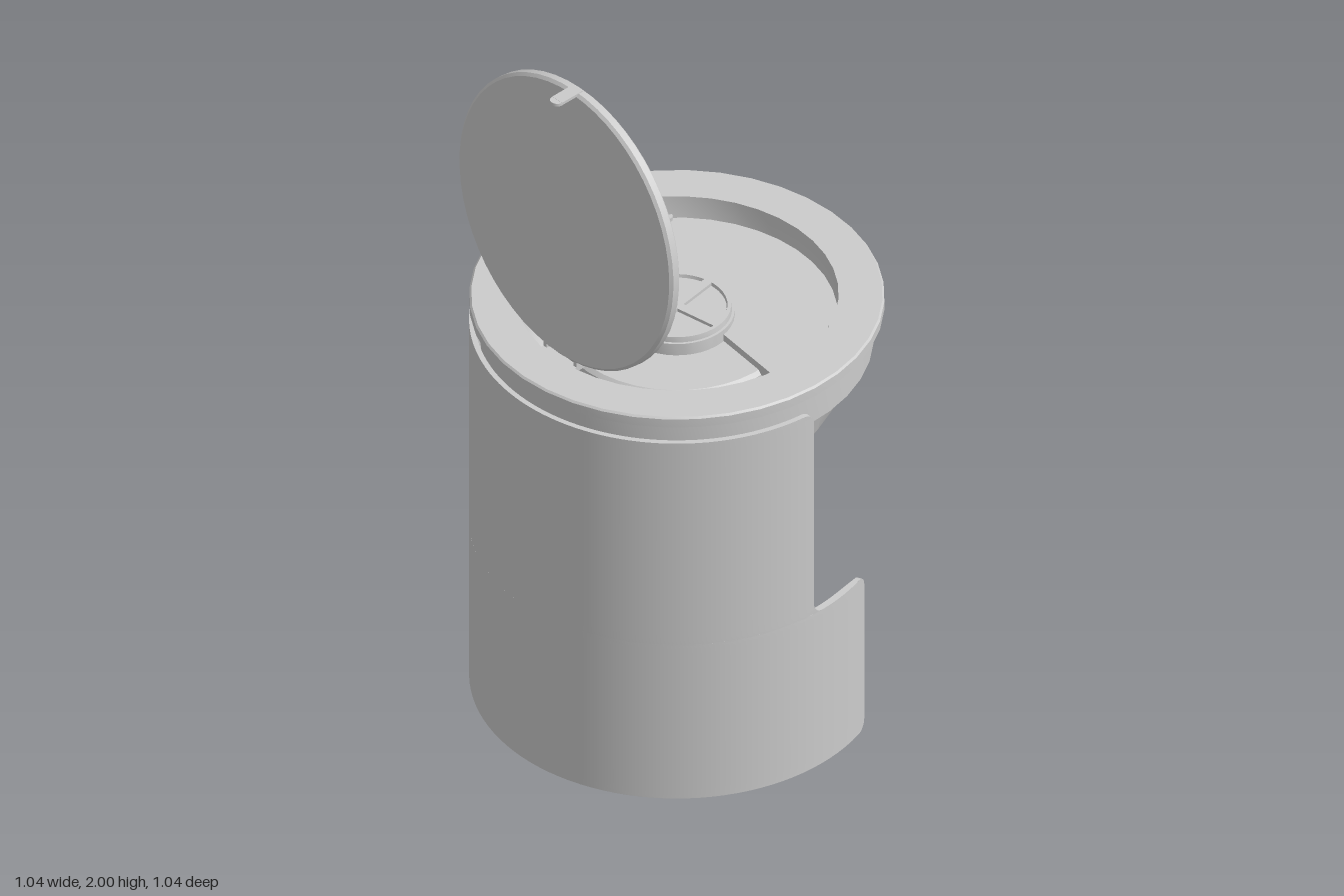
import * as THREE from 'three';
import { toCreasedNormals } from 'three/addons/utils/BufferGeometryUtils.js';

const material = new THREE.MeshStandardMaterial({ color: 0xcccccc });

function add(parent, name, geometry, x = 0, y = 0, z = 0) {
  const mesh = new THREE.Mesh(geometry, material);
  mesh.name = name;
  mesh.position.set(x, y, z);
  parent.add(mesh);
  return mesh;
}

const lathe = (points, segments) =>
  new THREE.LatheGeometry(points.map(([r, y]) => new THREE.Vector2(r, y)), segments);

// Curved wall, open towards +x, with a wider lower part and rounded corners
function shellGeometry() {
  const R = 0.52, inner = 0.506, N = 64, r = 0.03, c = r / R;
  const low = 1.178, high = 1.581, ledge = 0.48, top = 1.11;
  const rows = [];
  const corner = (fn) => {
    for (let i = 0; i <= 5; i++) {
      const t = (i / 5) * Math.PI / 2;
      rows.push(fn(Math.sin(t), Math.cos(t)));
    }
  };
  // each row is [half angle of the opening, height]
  corner((s, k) => [low + c * (1 - s), r * (1 - k)]);
  corner((s, k) => [low + c * (1 - k), ledge - r + r * s]);
  corner((s, k) => [high - c + c * s, ledge + r - r * k]);
  corner((s, k) => [high + c * (1 - k), top - r + r * s]);

  const W = 2 * (N + 1), pos = [], idx = [];
  for (const [gap, y] of rows) {
    for (let j = 0; j < W; j++) {
      const outside = j <= N;
      const u = (outside ? j : W - 1 - j) / N;
      const a = gap + u * (2 * Math.PI - 2 * gap), rad = outside ? R : inner;
      pos.push(rad * Math.cos(a), y, rad * Math.sin(a));
    }
  }
  const quad = (a, b, d, e) => idx.push(a, b, d, a, d, e);
  for (let i = 0; i < rows.length - 1; i++) {
    for (let j = 0; j < W; j++) {
      const k = (j + 1) % W;
      quad(i * W + j, (i + 1) * W + j, (i + 1) * W + k, i * W + k);
    }
  }
  // bottom and top edges
  const last = (rows.length - 1) * W;
  for (let j = 0; j < N; j++) {
    quad(j, j + 1, W - 2 - j, W - 1 - j);
    quad(last + j, last + W - 1 - j, last + W - 2 - j, last + j + 1);
  }
  const g = new THREE.BufferGeometry();
  g.setAttribute('position', new THREE.Float32BufferAttribute(pos, 3));
  g.setIndex(idx);
  return toCreasedNormals(g, 0.5);
}

// Rimmed tray with a ring-shaped trough that becomes shallower towards +x
function trayGeometry() {
  const deep = 0.93, shallow = 1.0, base = 1.055;
  const g = lathe([
    [0, 1.075], [0.28, 1.075], [0.287, 1.06], [0.29, 0.95], [0.3, 0.935], [0.315, deep],
    [0.425, deep], [0.445, 0.938], [0.455, 0.96], [0.465, 1.02], [0.478, base],
    [0.493, base], [0.493, 1.16], [0.52, 1.16], [0.52, 1.185], [0.515, 1.19],
    [0.405, 1.19], [0.403, 1.12], [0.39, 1.06], [0.37, 0.98], [0.345, 0.95], [0.32, 0.955],
    [0.305, 0.99], [0.3, 1.095], [0.29, 1.105], [0, 1.105],
  ], 40);
  const p = g.attributes.position;
  for (let i = 0; i < p.count; i++) {
    const y = p.getY(i);
    if (y >= base) continue;
    const a = Math.abs(Math.atan2(p.getZ(i), p.getX(i)));
    const lift = 1 - THREE.MathUtils.smoothstep(a, 1.13, 1.62);
    p.setY(i, y + lift * (shallow - deep) * (base - y) / (base - deep));
  }
  return toCreasedNormals(g, 0.6);
}

// Half disc covering the +x side of the tray
function plateGeometry() {
  const shape = new THREE.Shape();
  shape.absarc(0, 0, 0.404, -1.386, 1.534, false);
  const g = new THREE.ExtrudeGeometry(shape, { depth: 0.03, bevelEnabled: false, curveSegments: 24 });
  return toCreasedNormals(g.rotateX(-Math.PI / 2), 0.5);
}

export function createModel() {
  const model = new THREE.Group();
  model.name = 'openFrontBin';

  // Parts that share the turned axis of the opening
  const turned = new THREE.Group();
  turned.name = 'turnedParts';
  turned.rotation.y = THREE.MathUtils.degToRad(10);
  model.add(turned);
  add(turned, 'bodyShell', shellGeometry());
  add(turned, 'tray', trayGeometry());

  // Cover plate with two small studs
  add(model, 'coverPlate', plateGeometry(), 0, 1.095, 0);
  for (const [x, z] of [[0.19, -0.347], [0.3, 0.257]]) {
    add(model, 'plateStud', new THREE.CylinderGeometry(0.012, 0.012, 0.012, 12), x, 1.13, z);
  }

  // Central knob: collar, recessed face and raised cross
  const knob = new THREE.Group();
  knob.name = 'knob';
  knob.rotation.y = THREE.MathUtils.degToRad(20);
  model.add(knob);
  add(knob, 'knobBody', toCreasedNormals(lathe([
    [0, 1.068], [0.14, 1.068], [0.145, 1.075], [0.145, 1.14], [0.138, 1.14], [0.136, 1.155],
    [0.127, 1.155], [0.125, 1.146], [0, 1.146],
  ], 40), 0.5));
  for (const angle of [0, Math.PI / 2]) {
    add(knob, 'knobCrossBar', new THREE.BoxGeometry(0.254, 0.014, 0.024), 0, 1.148, 0).rotation.y = angle;
  }

  // Raised lid, leaning slightly over the tray
  const lid = new THREE.Group();
  lid.name = 'lid';
  lid.position.set(-0.362, 1.6, 0);
  lid.rotation.z = THREE.MathUtils.degToRad(-3.5);
  turned.add(lid);
  const lidDisc = lathe([
    [0, -0.016], [0.392, -0.016], [0.4, -0.009], [0.4, 0.01], [0.394, 0.016],
    [0.356, 0.016], [0.35, 0.01], [0, 0.01],
  ], 56).rotateZ(-Math.PI / 2);
  add(lid, 'lidDisc', toCreasedNormals(lidDisc, 0.5));
  // Opening tab at the top of the lid
  add(lid, 'lidTab', new THREE.BoxGeometry(0.07, 0.008, 0.036), -0.03, 0.394, 0).rotation.z = 0.1;
  add(lid, 'lidTabEnd', new THREE.CylinderGeometry(0.018, 0.018, 0.008, 16), -0.065, 0.39, 0);

  // Hinge lugs joining lid and rim
  for (const side of [-1, 1]) {
    add(turned, 'hingeLug', new THREE.BoxGeometry(0.025, 0.045, 0.012), -0.38, 1.2, side * 0.056);
    const pin = add(turned, 'hingePin', new THREE.CylinderGeometry(0.01, 0.01, 0.03, 12), -0.38, 1.2, side * 0.046);
    pin.rotation.x = Math.PI / 2;
  }
  // Bracket linking the lugs to the inner edge of the rim
  add(turned, 'hingeBracket', new THREE.BoxGeometry(0.04, 0.012, 0.125), -0.395, 1.183, 0);
  return model;
}
